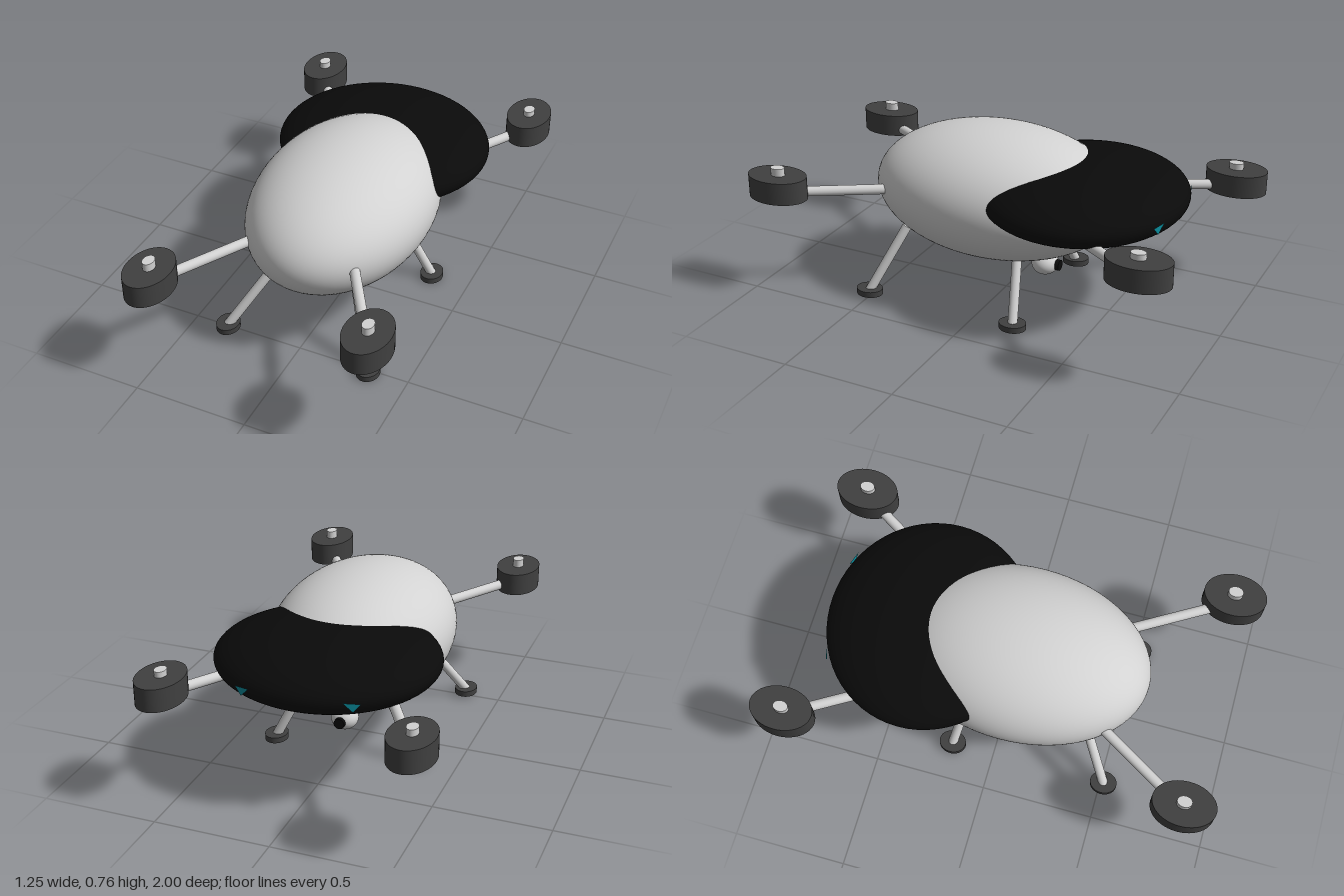
import * as THREE from 'three';

const material = (name, color) => {
  const m = new THREE.MeshStandardMaterial({ color });
  m.name = name;
  return m;
};

export function createModel() {
  const group = new THREE.Group();
  const shell = material('light grey shell', 0xd2d2d2);
  const rubber = material('dark grey', 0x404040);
  const black = material('black', 0x0a0a0a);
  const teal = material('teal', 0x0a8c9c);
  teal.side = THREE.DoubleSide;

  const add = (name, geometry, mat, x, y, z, sx = 1, sy = 1, sz = 1) => {
    const mesh = new THREE.Mesh(geometry, mat);
    mesh.name = name;
    mesh.position.set(x, y, z);
    mesh.scale.set(sx, sy, sz);
    group.add(mesh);
    return mesh;
  };

  const ball = new THREE.SphereGeometry(1, 64, 48);
  const disc = new THREE.CylinderGeometry(1, 1, 1, 48);

  // round rod between two points
  const rod = (name, from, to, radius) => {
    const a = new THREE.Vector3(...from), b = new THREE.Vector3(...to);
    const dir = b.clone().sub(a);
    const mid = a.clone().add(b).multiplyScalar(0.5);
    const mesh = add(name, disc, shell, mid.x, mid.y, mid.z, radius, dir.length(), radius);
    mesh.quaternion.setFromUnitVectors(new THREE.Vector3(0, 1, 0), dir.normalize());
  };

  // egg-shaped body and the flat dark rear shell
  add('body', ball, shell, 0, 0.477, 0.04, 0.388, 0.287, 0.562);
  add('rearShell', ball, black, 0, 0.54, -0.37, 0.475, 0.14, 0.44);

  // rotor arms, oval pods and hubs: x, z, pod bottom, hub top
  const rotors = [
    ['frontLeft', 0.475, 0.86, 0.464, 0.598, 0.482],
    ['frontRight', -0.475, 0.86, 0.445, 0.58, 0.472],
    ['rearLeft', 0.53, -0.82, 0.467, 0.592, 0.484],
    ['rearRight', -0.53, -0.865, 0.437, 0.565, 0.462],
  ];
  for (const [side, x, z, bottom, hubTop, armY] of rotors) {
    const innerX = Math.sign(x) * 0.2;
    const innerZ = z > 0 ? 0.4 : -0.3;
    rod(side + 'Arm', [innerX, 0.48, innerZ], [x, armY, z], 0.022);
    add(side + 'Pod', disc, rubber, x, bottom + 0.05, z, 0.096, 0.1, 0.136);
    add(side + 'Hub', disc, shell, x, hubTop - 0.03, z - Math.sign(z) * 0.003, 0.024, 0.06, 0.032);
  }

  // landing legs with oval feet: top point, foot centre
  const legs = [
    ['frontLeft', [0.21, 0.31, 0.38], [0.325, 0.015, 0.515]],
    ['frontRight', [-0.18, 0.29, 0.38], [-0.338, 0.026, 0.515]],
    ['rearLeft', [0.2, 0.27, -0.15], [0.325, 0.015, -0.19]],
    ['rearRight', [-0.19, 0.27, -0.15], [-0.338, 0.026, -0.19]],
  ];
  for (const [side, top, foot] of legs) {
    rod(side + 'Leg', top, foot, 0.021);
    add(side + 'Foot', disc, rubber, ...foot, 0.05, 0.026, 0.06);
  }

  // belly camera: mount, ball and lens facing the rear
  add('cameraMount', disc, rubber, 0, 0.205, -0.155, 0.037, 0.055, 0.045);
  add('cameraBall', ball, shell, 0, 0.165, -0.19, 0.06, 0.052, 0.06);
  const lens = add('cameraLens', disc, black, 0, 0.165, -0.24, 0.024, 0.044, 0.024);
  lens.rotation.x = Math.PI / 2;

  // small teal marker chips on the rim of the rear shell
  const chip = new THREE.Shape();
  chip.moveTo(-0.035, 0.018);
  chip.lineTo(0.035, 0.014);
  chip.lineTo(0.005, -0.022);
  chip.closePath();
  const chipGeometry = new THREE.ShapeGeometry(chip);
  for (const [name, x, z, flip] of [['leftMarker', 0.2, -0.777, 1], ['rightMarker', -0.25, -0.755, -1]]) {
    const marker = add(name, chipGeometry, teal, x, 0.535, z, flip, 1, 1);
    marker.rotation.y = -Math.atan2(x, 0.5) * 0.75;
  }

  return group;
}
